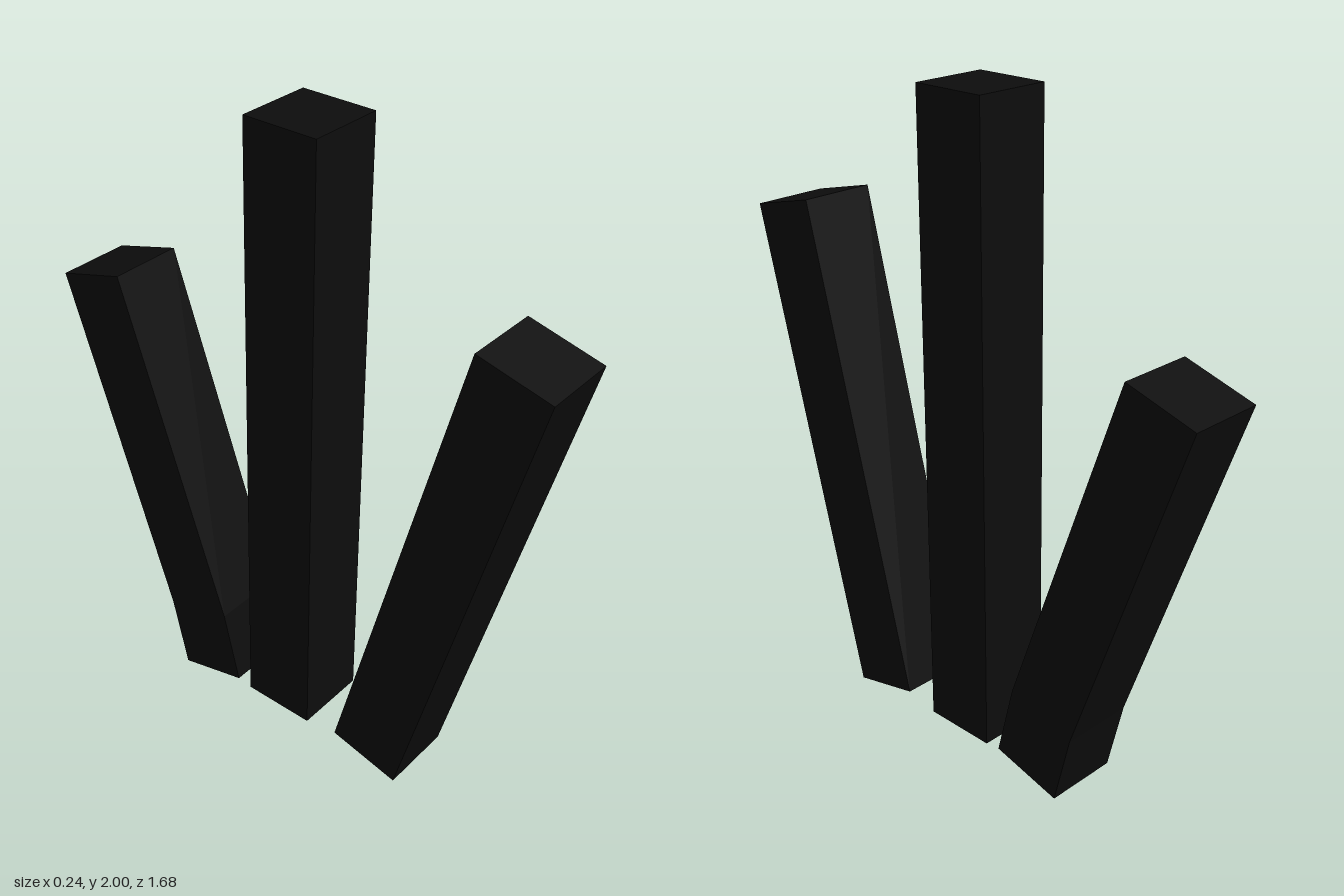
import * as THREE from 'three';

const WIDTH = 0.236;

// Side outlines of the three square bars as [z, y] corners
const BARS = {
  frontBar: [[0.84, 1.53], [0.612, 1.587], [0.208, 0.065], [0.436, 0.008]],
  middleBar: [[0.127, 1.998], [-0.109, 2], [-0.138, 0.048], [0.098, 0.045]],
  // the back bar bends near its foot
  backBar: [[-0.612, 1.38], [-0.838, 1.316], [-0.47, 0.23], [-0.417, 0], [-0.188, 0.056], [-0.242, 0.29]],
};

export function createModel() {
  const group = new THREE.Group();
  const material = new THREE.MeshStandardMaterial({ color: 0x0d0d0d });

  for (const [name, outline] of Object.entries(BARS)) {
    const shape = new THREE.Shape(outline.map(([z, y]) => new THREE.Vector2(z, y)));
    const geometry = new THREE.ExtrudeGeometry(shape, { depth: WIDTH, bevelEnabled: false });
    // turn the outline into the zy plane and centre the bar on x
    geometry.rotateY(-Math.PI / 2).translate(WIDTH / 2, 0, 0);
    const bar = new THREE.Mesh(geometry, material);
    bar.name = name;
    group.add(bar);
  }
  return group;
}
